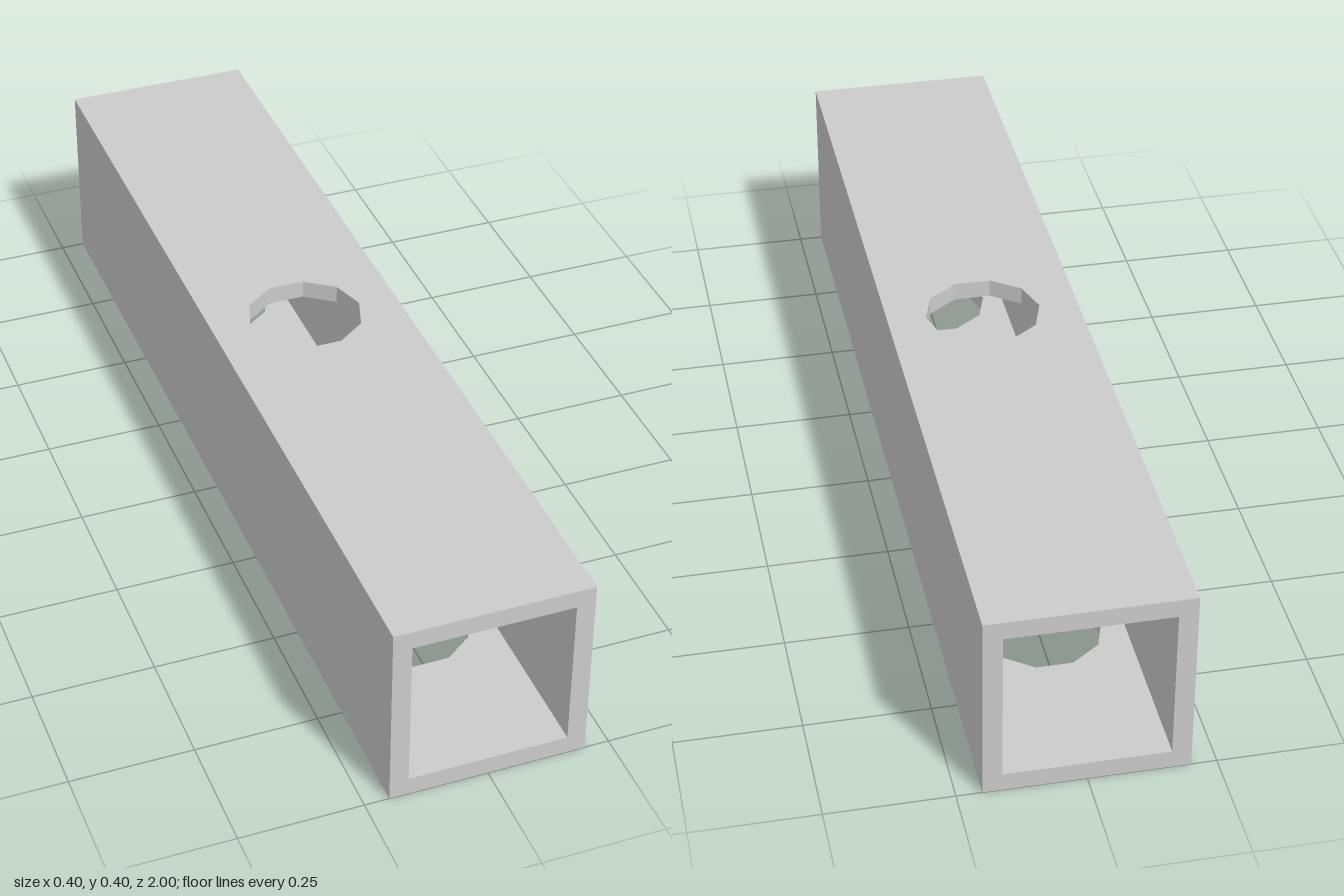
import * as THREE from 'three';

const WIDTH = 0.4, HEIGHT = 0.4, LENGTH = 2, WALL = 0.038;
const HOLE_RADIUS = 0.12, HOLE_SIDES = 10;

// Ten-sided hole outline centred at z on the plate's centre line
function holePath(z) {
  const points = [];
  for (let i = 0; i < HOLE_SIDES; i++) {
    const a = (i / HOLE_SIDES) * Math.PI * 2;
    points.push(new THREE.Vector2(HOLE_RADIUS * Math.cos(a), -z + HOLE_RADIUS * Math.sin(a)));
  }
  return new THREE.Path(points);
}

// Horizontal plate with holes, its underside at y = 0
function plateGeometry(holes) {
  const w = WIDTH / 2, l = LENGTH / 2;
  const shape = new THREE.Shape([
    new THREE.Vector2(-w, -l), new THREE.Vector2(w, -l),
    new THREE.Vector2(w, l), new THREE.Vector2(-w, l),
  ]);
  shape.holes = holes.map(holePath);
  const geometry = new THREE.ExtrudeGeometry(shape, { depth: WALL, bevelEnabled: false });
  return geometry.rotateX(-Math.PI / 2);
}

export function createModel() {
  const group = new THREE.Group();
  group.name = 'squareTube';
  const material = new THREE.MeshStandardMaterial({ color: 0xcccccc, flatShading: true });

  const add = (name, geometry, x, y) => {
    const mesh = new THREE.Mesh(geometry, material);
    mesh.name = name;
    mesh.position.set(x, y, 0);
    group.add(mesh);
  };

  // Top has one central hole, bottom has one near each end
  add('topWall', plateGeometry([0]), 0, HEIGHT - WALL);
  add('bottomWall', plateGeometry([-0.6, 0.6]), 0, 0);

  // Side walls fit between the plates
  const side = new THREE.BoxGeometry(WALL, HEIGHT - 2 * WALL, LENGTH);
  add('leftWall', side, (WIDTH - WALL) / 2, HEIGHT / 2);
  add('rightWall', side, -(WIDTH - WALL) / 2, HEIGHT / 2);

  return group;
}
